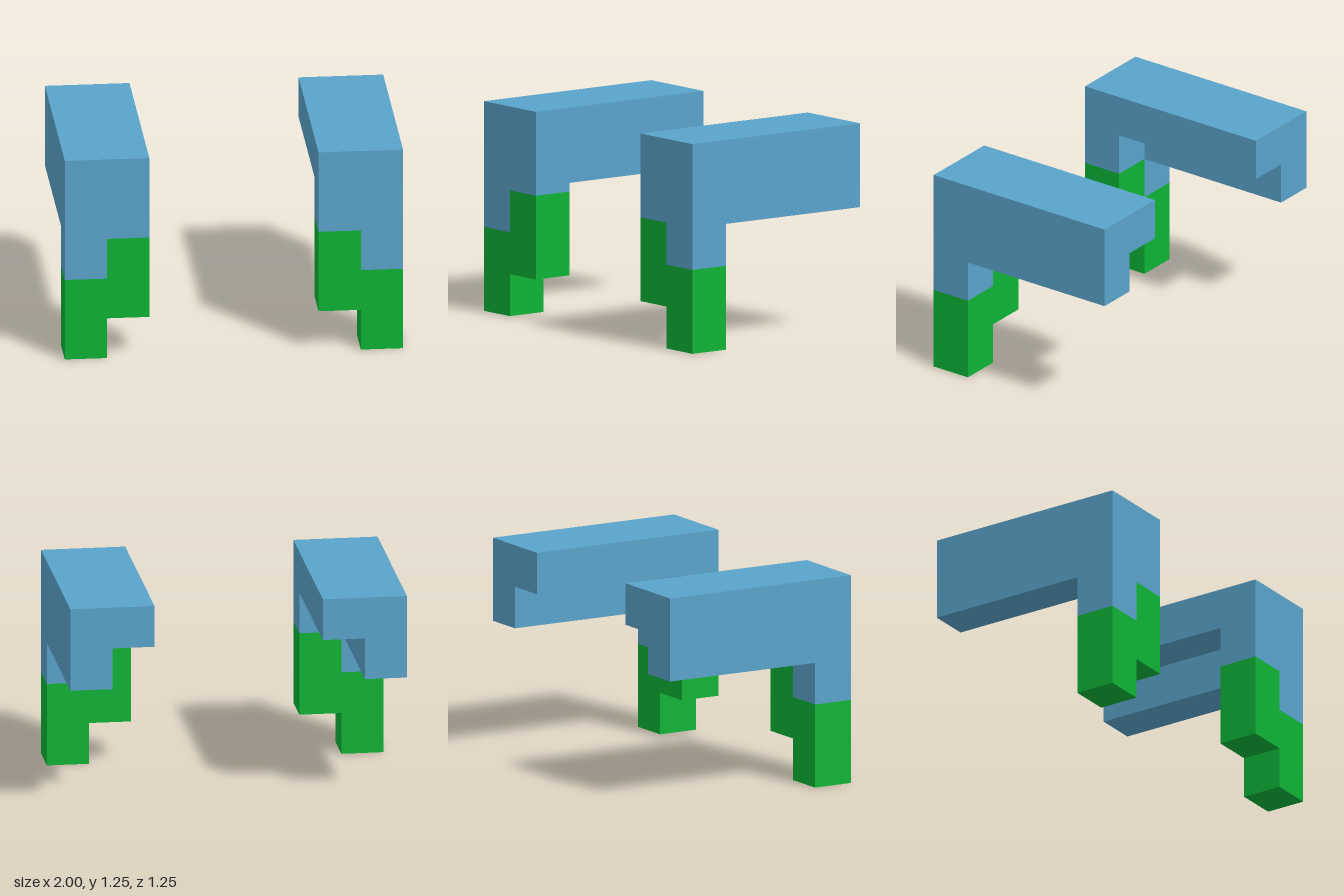
import * as THREE from 'three';

const blue = new THREE.MeshStandardMaterial({ name: 'sleeve blue', color: 0x59a3ca });
const green = new THREE.MeshStandardMaterial({ name: 'block green', color: 0x0db335 });

// Cross-sections in x and y for the left (+x) side
const beamProfile = [[0.5, 1], [0.75, 1], [0.75, 0.75], [1, 0.75], [1, 1.25], [0.5, 1.25]];
const cornerProfile = [[0.5, 0.75], [0.75, 0.75], [0.75, 0.5], [1, 0.5], [1, 1.25], [0.5, 1.25]];
const footProfile = [[0.5, 0.25], [0.75, 0.25], [0.75, 0], [1, 0], [1, 0.5], [0.75, 0.5], [0.75, 0.75], [0.5, 0.75]];

// Extrudes a cross-section from zBack to zFront, mirrored when side is -1
function prism(name, profile, side, zBack, zFront, material) {
  const shape = new THREE.Shape(profile.map(([x, y]) => new THREE.Vector2(x * side, y)));
  const geometry = new THREE.ExtrudeGeometry(shape, { depth: zFront - zBack, bevelEnabled: false });
  geometry.translate(0, 0, zBack);
  const mesh = new THREE.Mesh(geometry, material);
  mesh.name = name;
  return mesh;
}

export function createModel() {
  const model = new THREE.Group();
  model.name = 'bracketPair';
  for (const [name, side] of [['left', 1], ['right', -1]]) {
    const bracket = new THREE.Group();
    bracket.name = name + 'Bracket';
    bracket.add(
      // Long beam reaching to the back
      prism(name + 'Beam', beamProfile, side, -0.625, 0.375, blue),
      // Front corner joining the beam to the foot
      prism(name + 'Corner', cornerProfile, side, 0.375, 0.625, blue),
      // Stepped foot
      prism(name + 'Foot', footProfile, side, 0.375, 0.625, green)
    );
    model.add(bracket);
  }
  return model;
}
